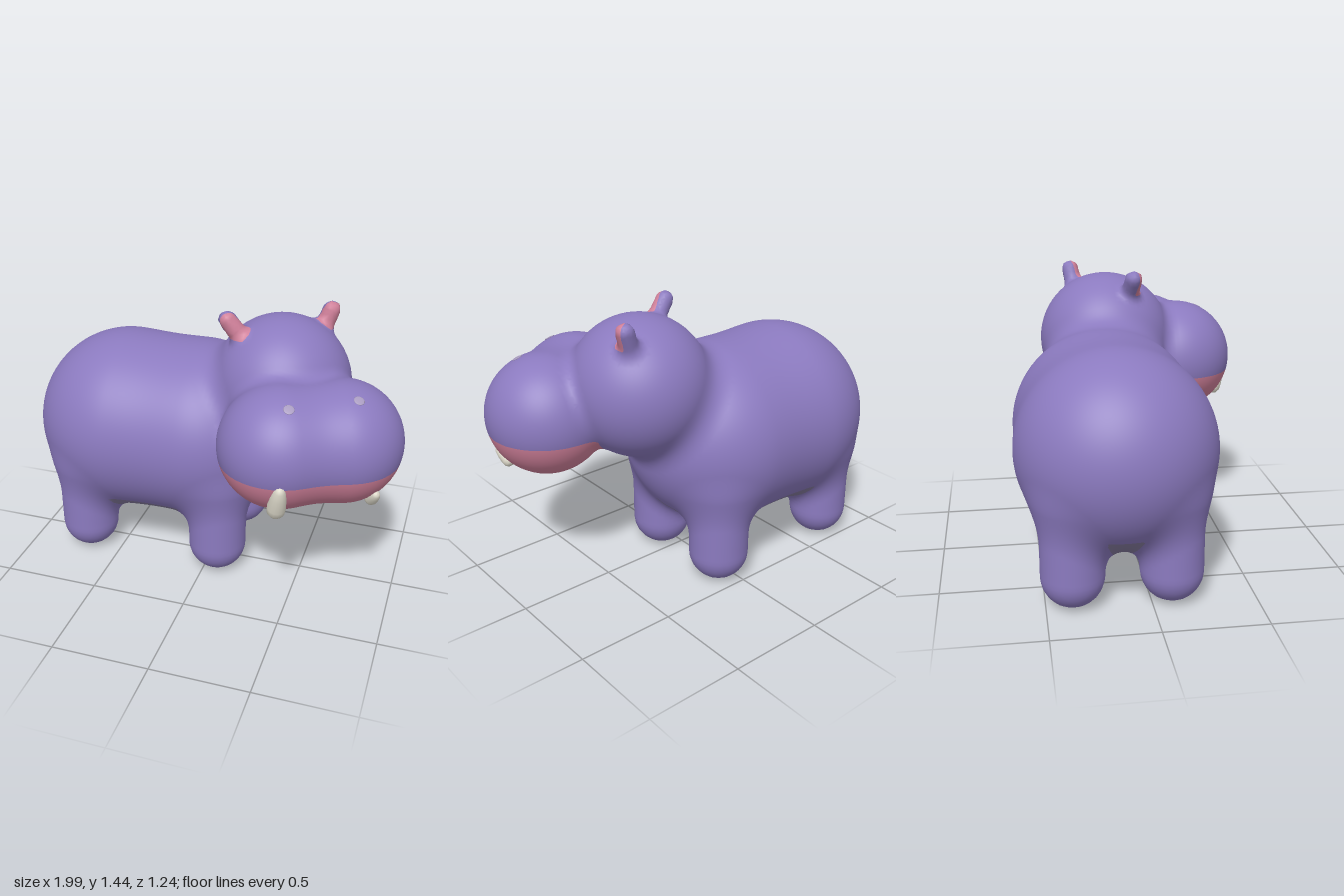
import * as THREE from 'three';

const mat = (name, color) => {
  const m = new THREE.MeshStandardMaterial({ color });
  m.name = name;
  return m;
};
const V = (x, y, z) => new THREE.Vector3(x, y, z);

// ---- Soft volumes: distance to a capsule, and a rounded union ----
const capsule = (ax, ay, az, bx, by, bz, r) => {
  const dx = bx - ax, dy = by - ay, dz = bz - az, len2 = dx * dx + dy * dy + dz * dz || 1;
  return (x, y, z) => {
    const t = Math.min(1, Math.max(0, ((x - ax) * dx + (y - ay) * dy + (z - az) * dz) / len2));
    return Math.hypot(x - ax - t * dx, y - ay - t * dy, z - az - t * dz) - r;
  };
};
const ball = (x, y, z, r) => capsule(x, y, z, x, y, z, r);
const blend = (a, b, k) => {
  const h = Math.max(k - Math.abs(a - b), 0) / k;
  return Math.min(a, b) - h * h * k / 4;
};

// ---- Animal: barrel body, four legs, head turned to its left, wide muzzle, ears ----
const rump = ball(-0.51, 0.71, -0.14, 0.485);
const chest = ball(-0.11, 0.71, -0.14, 0.475);
const legs = [];
for (const x of [-0.685, 0.06])
  for (const z of [0.1, -0.37]) legs.push(capsule(x, 0.155, z, x, 0.5, z, 0.153));
const skull = ball(0.34, 1.055, -0.09, 0.35);
const cheekA = ball(0.435, 0.92, 0.315, 0.303);
const cheekB = ball(0.7, 0.92, 0.18, 0.3);
const earA = capsule(0.18, 1.28, 0.015, 0.085, 1.405, 0.03, 0.046);
const earB = capsule(0.495, 1.28, -0.24, 0.54, 1.405, -0.26, 0.046);
const muzzle = (x, y, z) => blend(cheekA(x, y, z), cheekB(x, y, z), 0.1);
const ears = (x, y, z) => Math.min(earA(x, y, z), earB(x, y, z));

const animal = (x, y, z) => {
  let d = blend(rump(x, y, z), chest(x, y, z), 0.14);
  for (const leg of legs) d = blend(d, leg(x, y, z), 0.1);
  d = blend(d, skull(x, y, z), 0.1);
  d = blend(d, muzzle(x, y, z), 0.06);
  return blend(d, ears(x, y, z), 0.04);
};
const slope = (x, y, z) => {
  const e = 0.002;
  return V(animal(x + e, y, z) - animal(x - e, y, z), animal(x, y + e, z) - animal(x, y - e, z),
    animal(x, y, z + e) - animal(x, y, z - e)).normalize();
};

// ---- Colour zones: negative inside ----
const jawZone = (x, y, z) => Math.max(y - 0.85, muzzle(x, y, z) - 0.035);
const earZone = (x, y, z) => {
  const a = earA(x, y, z) < earB(x, y, z);
  const front = a ? (x - 0.13) * 0.45 + (z - 0.022) * 0.89 : (x - 0.52) * 0.45 + (z + 0.25) * 0.89;
  return Math.max(1.315 - y, ears(x, y, z) - 0.02, -front);
};
const bellyZone = (x, y, z) => Math.max(y - 0.375, Math.min(
  Math.abs(x + 0.325) - 0.135 - 0.36 * (y - 0.2),
  Math.abs(z + 0.14) - 0.02 - 0.4 * (y - 0.2)));

// Wraps a smooth skin of triangles round a volume; corners are [x, y, z, nx, ny, nz]
function wrap(field, lo, hi, step) {
  const n = lo.map((v, i) => Math.ceil((hi[i] - v) / step) + 1);
  const stride = [1, n[0], n[0] * n[1]];
  const val = new Float32Array(n[0] * n[1] * n[2]);
  const each = (from, fn) => {
    for (let k = from; k < n[2] - 1; k++)
      for (let j = from; j < n[1] - 1; j++)
        for (let i = from; i < n[0] - 1; i++) fn([i, j, k], i + j * stride[1] + k * stride[2]);
  };
  val.fill(1);
  each(0, (c, id) => { val[id] = field(...c.map((q, a) => lo[a] + q * step)); });
  const corners = new Map();
  each(0, (c, id) => {
    const sum = [0, 0, 0];
    let count = 0;
    for (let m = 0; m < 8; m++)
      for (let a = 0; a < 3; a++) {
        if (m >> a & 1) continue;
        const o = [m & 1, m >> 1 & 1, m >> 2 & 1];
        const p = id + o[0] + o[1] * stride[1] + o[2] * stride[2];
        const f = val[p], g = val[p + stride[a]];
        if ((f < 0) === (g < 0)) continue;
        o[a] = f / (f - g);
        o.forEach((q, i) => { sum[i] += q; });
        count++;
      }
    if (!count) return;
    const p = sum.map((s, a) => lo[a] + (c[a] + s / count) * step);
    corners.set(id, [...p, ...slope(...p).toArray()]);
  });
  const tris = [];
  each(1, (c, id) => {
    for (let a = 0; a < 3; a++) {
      if ((val[id] < 0) === (val[id + stride[a]] < 0)) continue;
      const b = stride[(a + 1) % 3], d = stride[(a + 2) % 3];
      const q = [id, id - b, id - b - d, id - d].map(s => corners.get(s));
      if (val[id] >= 0) q.reverse();
      tris.push([q[0], q[1], q[2]], [q[0], q[2], q[3]]);
    }
  });
  return tris;
}

// Cuts triangles cleanly along the edge of a colour zone
function cut(tris, zone) {
  const inside = [], outside = [];
  for (const t of tris) {
    const f = t.map(p => zone(p[0], p[1], p[2]));
    const polys = [[], []];
    for (let i = 0; i < 3; i++) {
      const j = (i + 1) % 3;
      polys[f[i] < 0 ? 0 : 1].push(t[i]);
      if ((f[i] < 0) === (f[j] < 0)) continue;
      const s = f[i] / (f[i] - f[j]);
      const mid = t[i].map((v, a) => v + (t[j][a] - v) * s);
      polys[0].push(mid);
      polys[1].push(mid);
    }
    polys.forEach((p, side) => {
      for (let i = 2; i < p.length; i++) (side ? outside : inside).push([p[0], p[i - 1], p[i]]);
    });
  }
  return [inside, outside];
}

function skinMesh(name, tris, material) {
  const pts = tris.flat();
  const g = new THREE.BufferGeometry();
  g.setAttribute('position', new THREE.Float32BufferAttribute(pts.flatMap(p => p.slice(0, 3)), 3));
  g.setAttribute('normal', new THREE.Float32BufferAttribute(pts.flatMap(p => p.slice(3)), 3));
  const m = new THREE.Mesh(g, material);
  m.name = name;
  return m;
}

export function createModel() {
  const group = new THREE.Group();
  group.name = 'hippo';
  const purple = mat('purple skin', 0x8b7abf);
  const pink = mat('pink', 0xd0809a);
  const grey = mat('greyish belly', 0x83799c);
  const ivory = mat('ivory', 0xdedacb);
  const lilac = mat('pale lilac', 0xa99cc0);

  // Skin, split into its coloured zones
  const all = wrap(animal, [-1.06, -0.06, -0.7], [1.08, 1.54, 0.72], 0.024);
  const [jaw, rest1] = cut(all, jawZone);
  const [innerEars, rest2] = cut(rest1, earZone);
  const [belly, hide] = cut(rest2, bellyZone);
  group.add(skinMesh('body', hide, purple), skinMesh('lowerJaw', jaw, pink),
    skinMesh('innerEars', innerEars, pink), skinMesh('belly', belly, grey));

  // Tusks: rounded pegs, wider at the bottom
  const tusk = (name, top, bottom, r) => {
    const len = top.distanceTo(bottom);
    const profile = [[0, 0], [0.6, 0.04], [0.95, 0.16], [1, 0.32], [0.85, 0.65], [0.62, 0.88], [0.35, 0.97], [0, 1]]
      .map(([a, b]) => new THREE.Vector2(a * r, (b - 0.5) * len));
    const m = new THREE.Mesh(new THREE.LatheGeometry(profile, 16), ivory);
    m.name = name;
    m.position.copy(top).add(bottom).multiplyScalar(0.5);
    m.quaternion.setFromUnitVectors(V(0, 1, 0), top.clone().sub(bottom).normalize());
    group.add(m);
  };
  tusk('rightTusk', V(0.51, 0.865, 0.6), V(0.475, 0.672, 0.54), 0.045);
  tusk('leftTusk', V(0.91, 0.745, 0.325), V(0.87, 0.66, 0.25), 0.033);

  // Nostrils: thin discs lying on top of the muzzle
  for (const [name, x, z] of [['rightNostril', 0.5, 0.45], ['leftNostril', 0.785, 0.28]]) {
    let y = 1.3;
    for (let i = 0; i < 40; i++) y -= animal(x, y, z) * 0.8;
    const m = new THREE.Mesh(new THREE.SphereGeometry(1, 16, 8), lilac);
    m.name = name;
    m.scale.set(0.026, 0.004, 0.026);
    m.position.set(x, y, z);
    m.quaternion.setFromUnitVectors(V(0, 1, 0), slope(x, y, z));
    group.add(m);
  }
  return group;
}
